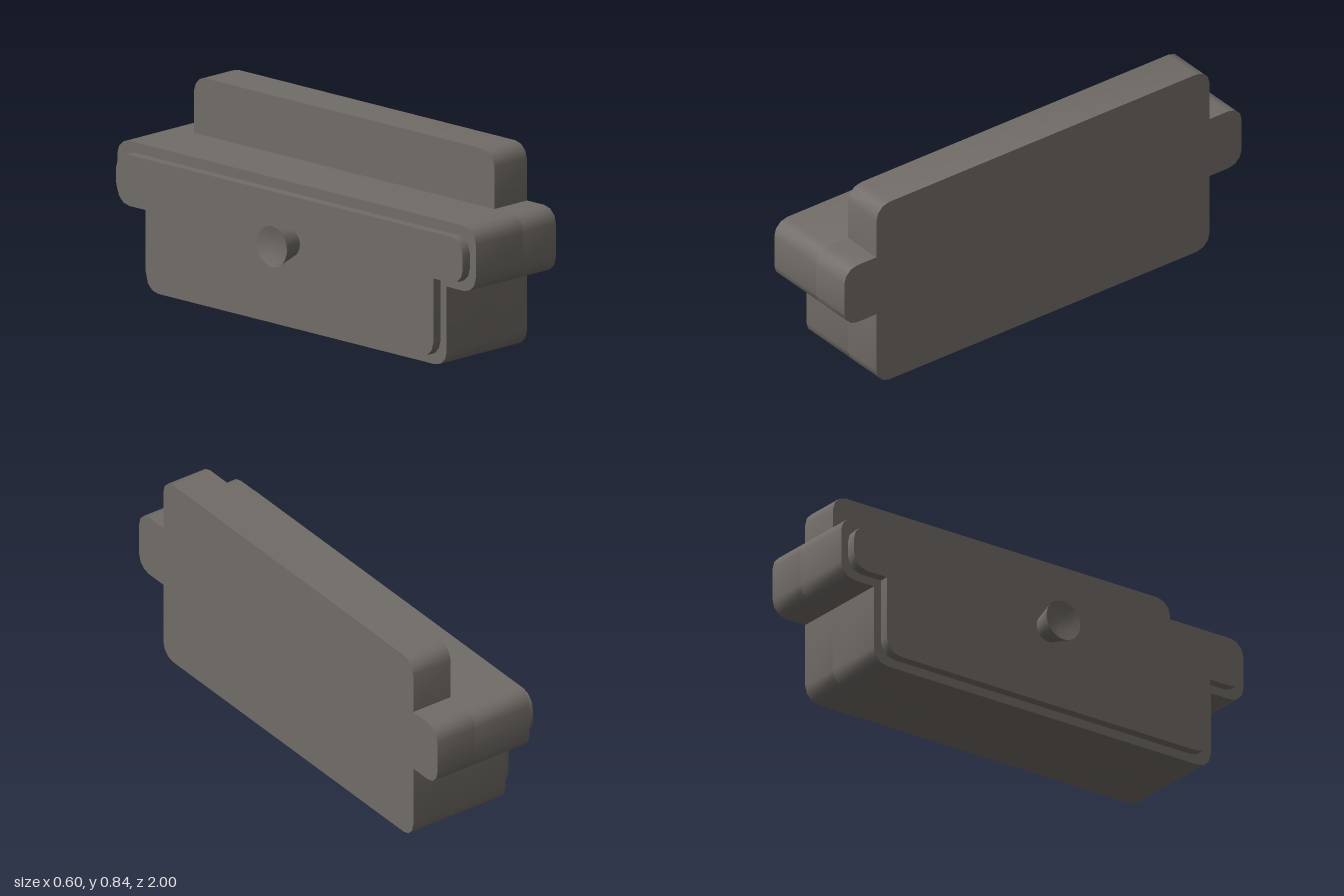
import * as THREE from 'three';
import { toCreasedNormals } from 'three/addons/utils/BufferGeometryUtils.js';

const FILLET = 0.065;

// Closed outline from [z, y, rounded] corners, each rounded corner in three steps
function outline(corners) {
  const pts = [];
  corners.forEach(([x, y, rounded], i) => {
    const p = new THREE.Vector2(x, y);
    if (!rounded) { pts.push(p); return; }
    const [px, py] = corners[(i + corners.length - 1) % corners.length];
    const [nx, ny] = corners[(i + 1) % corners.length];
    const a = new THREE.Vector2(px, py).sub(p).setLength(FILLET);
    const b = new THREE.Vector2(nx, ny).sub(p).setLength(FILLET);
    for (let k = 0; k <= 3; k++) {
      const t = (k / 3) * Math.PI / 2;
      pts.push(p.clone().addScaledVector(a, 1 - Math.sin(t)).addScaledVector(b, 1 - Math.cos(t)));
    }
  });
  return new THREE.Shape(pts);
}

// Right half of a section, mirrored to a symmetric outline
function mirrored(half) {
  return outline([...half, ...half.map(([x, y, r]) => [-x, y, r]).reverse()]);
}

export function createModel() {
  const group = new THREE.Group();
  const material = new THREE.MeshStandardMaterial({ color: 0x716c67 });
  material.name = 'warm grey';

  const add = (name, geometry) => {
    const mesh = new THREE.Mesh(toCreasedNormals(geometry, 0.7), material);
    mesh.name = name;
    group.add(mesh);
  };

  // Slab running along x from x0 to x1
  const slab = (name, half, x0, x1) => {
    const g = new THREE.ExtrudeGeometry(mirrored(half), { depth: x1 - x0, bevelEnabled: false });
    g.rotateY(Math.PI / 2);
    g.translate(x0, 0, 0);
    add(name, g);
  };

  // Housing with side ears
  slab('housing', [
    [0.838, 0, true], [0.838, 0.332, false], [1, 0.332, true], [1, 0.6, true],
  ], -0.158, 0.112);

  // Taller plate behind the housing
  slab('backPlate', [
    [0.838, 0, true], [0.838, 0.332, false], [1, 0.332, true], [1, 0.6, true],
    [0.838, 0.6, false], [0.838, 0.836, true],
  ], 0.112, 0.297);

  // Inset face panel
  slab('facePanel', [
    [0.803, 0.037, true], [0.803, 0.367, false], [0.967, 0.367, true], [0.967, 0.557, true],
  ], -0.199, -0.158);

  // Flared knob with a dished end
  const knob = new THREE.LatheGeometry([
    new THREE.Vector2(0.058, 0.197),
    new THREE.Vector2(0.084, 0.298),
    new THREE.Vector2(0.045, 0.287),
    new THREE.Vector2(0, 0.283),
  ], 32);
  knob.rotateZ(Math.PI / 2);
  knob.translate(0, 0.366, 0);
  add('knob', knob);

  return group;
}
